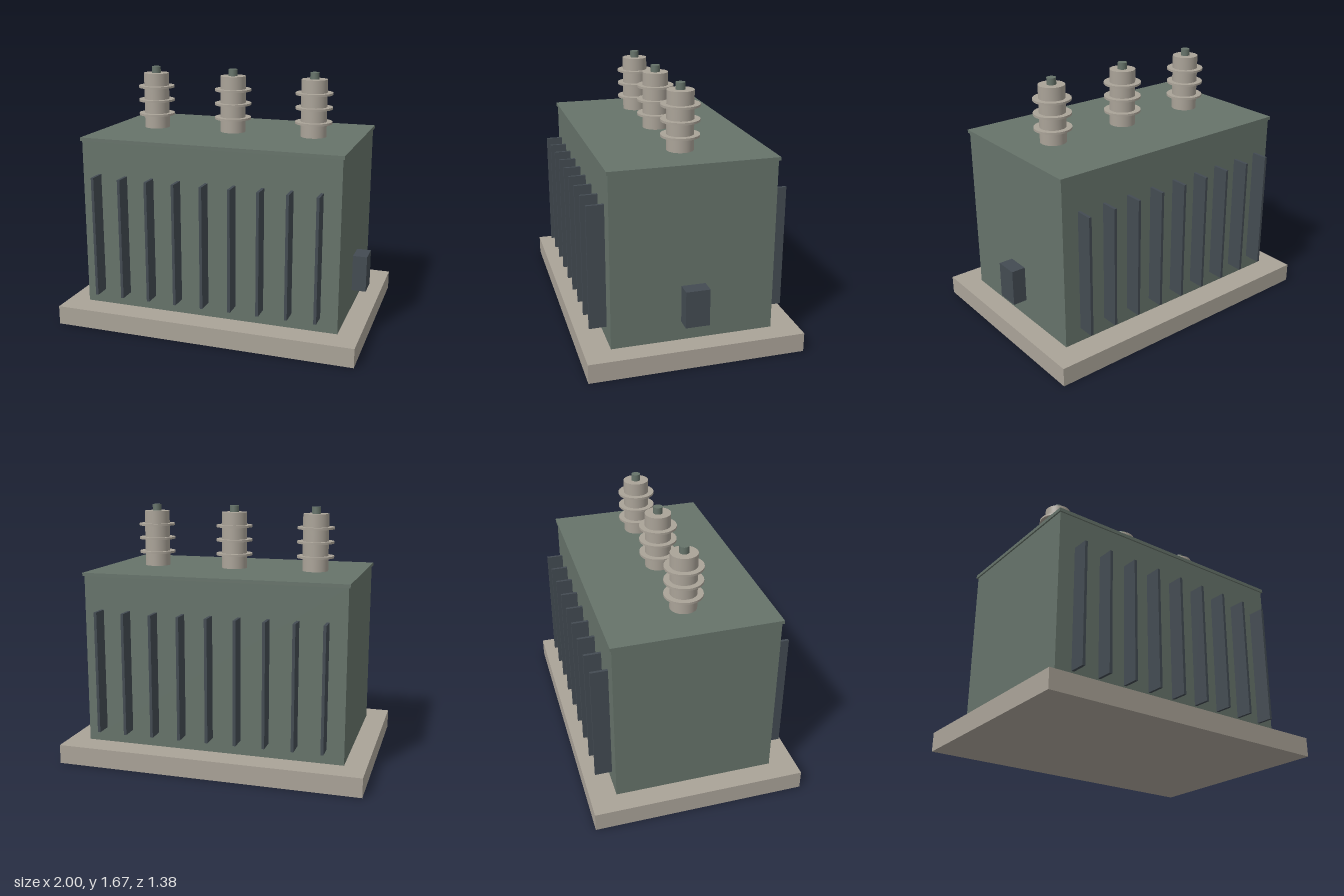
import * as THREE from 'three';

export function createModel() {
  const model = new THREE.Group();
  model.name = 'transformer';

  const mat = (name, color) => {
    const m = new THREE.MeshStandardMaterial({ color });
    m.name = name;
    return m;
  };
  const stone = mat('warm grey', 0xaaa398);
  const green = mat('grey green', 0x66736a);
  const dark = mat('dark slate', 0x434b52);

  const add = (parent, name, geometry, material, x, y, z) => {
    const mesh = new THREE.Mesh(geometry, material);
    mesh.name = name;
    mesh.position.set(x, y, z);
    parent.add(mesh);
  };
  // Box given by its bottom and top heights
  const box = (name, w, y0, y1, d, material, x = 0, z = 0) =>
    add(model, name, new THREE.BoxGeometry(w, y1 - y0, d), material, x, (y0 + y1) / 2, z);
  // Upright cylinder given by its bottom and top heights
  const cyl = (parent, name, r, y0, y1, material) =>
    add(parent, name, new THREE.CylinderGeometry(r, r, y1 - y0, 32), material, 0, (y0 + y1) / 2, 0);

  // Plinth, tank and lid
  box('plinth', 2, 0, 0.125, 1.38, stone);
  box('tank', 1.72, 0.125, 1.235, 1.04, green);
  box('lid', 1.74, 1.235, 1.257, 1.06, green);

  // Control box on the left side
  box('controlBox', 0.093, 0.25, 0.49, 0.153, dark, 0.9065);

  // Cooling fins along front and back
  for (const side of [1, -1]) {
    for (let i = -4; i <= 4; i++) {
      box('coolingFin', 0.018, 0.22, 1.02, 0.12, dark, i * 0.185, side * 0.57);
    }
  }

  // Insulator bushings with three sheds and a terminal each
  for (const x of [-0.555, 0, 0.555]) {
    const bushing = new THREE.Group();
    bushing.name = 'bushing';
    bushing.position.x = x;
    cyl(bushing, 'insulator', 0.085, 1.25, 1.63, stone);
    for (const y of [1.35, 1.445, 1.538]) cyl(bushing, 'shed', 0.122, y - 0.007, y + 0.007, stone);
    cyl(bushing, 'terminal', 0.03, 1.63, 1.674, green);
    model.add(bushing);
  }

  return model;
}
